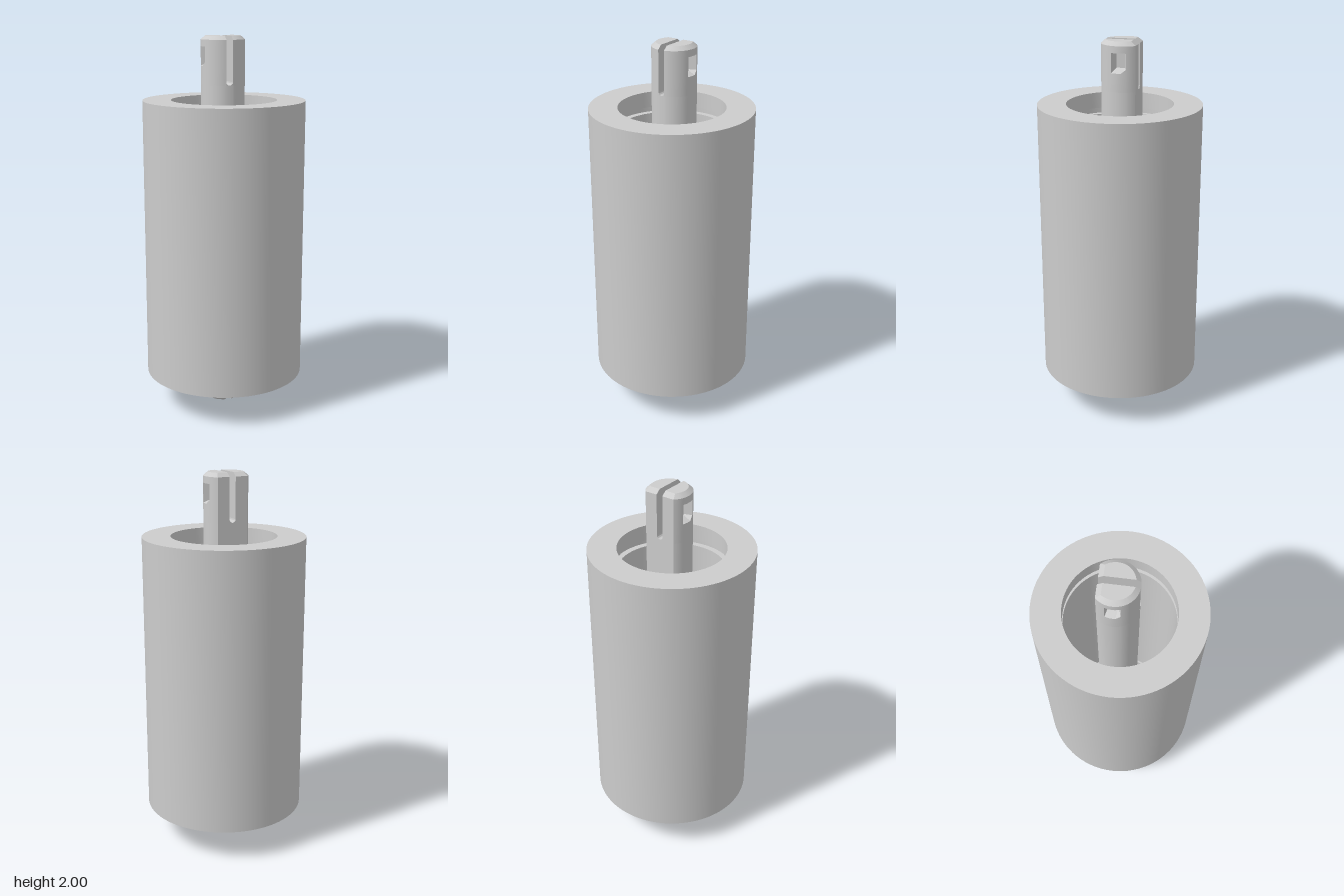
import * as THREE from 'three';
import { toCreasedNormals } from 'three/addons/utils/BufferGeometryUtils.js';

const ZC = -0.02;    // shaft axis offset in z
const SLOT = 0.017;  // half width of the end slots

// Half of the D-shaped shaft section (+x side), optionally with the side pocket cut in
function halfSection(r, flat, pocket = false) {
  const pts = [];
  const arc = (a, b, n) => {
    for (let i = 0; i <= n; i++) {
      const t = a + (b - a) * i / n;
      pts.push([r * Math.cos(t), ZC + r * Math.sin(t)]);
    }
  };
  arc(Math.acos(SLOT / r), 0.33, 12);
  if (pocket) pts.push([0.06, ZC + 0.022], [0.06, ZC - 0.022]);
  else arc(0.11, -0.11, 1);
  arc(-0.33, Math.asin((flat - ZC) / r), 5);
  pts.push([SLOT, flat]);
  return pts;
}

const mirror = (pts) => pts.map(([x, z]) => [-x, z]).reverse();

// Solid through a stack of [y, section] stations, capped at both ends
function loft(stations) {
  const pos = [], idx = [], n = stations[0][1].length;
  for (const [y, pts] of stations) for (const [x, z] of pts) pos.push(x, y, z);
  for (let s = 0; s < stations.length - 1; s++) {
    for (let i = 0; i < n; i++) {
      const a = s * n + i, b = s * n + (i + 1) % n;
      idx.push(a, b, b + n, a, b + n, a + n);
    }
  }
  const cap = (s, flip) => {
    const flat = stations[s][1].map(([x, z]) => new THREE.Vector2(x, -z));
    for (const [a, b, c] of THREE.ShapeUtils.triangulateShape(flat, [])) {
      const o = s * n;
      idx.push(o + a, o + (flip ? c : b), o + (flip ? b : c));
    }
  };
  cap(0, true);
  cap(stations.length - 1, false);
  const g = new THREE.BufferGeometry();
  g.setAttribute('position', new THREE.Float32BufferAttribute(pos, 3));
  g.setIndex(idx);
  return toCreasedNormals(g, 0.4);
}

export function createModel() {
  const model = new THREE.Group();
  const steel = new THREE.MeshStandardMaterial({ color: 0xcccccc });
  steel.name = 'light grey';
  const add = (parent, geo, name) => {
    const m = new THREE.Mesh(geo, steel);
    m.name = name;
    parent.add(m);
    return m;
  };

  // Hollow roller with a ring groove inside each end of the bore
  const lo = 0.175, hi = 1.67, R = 0.427, r = 0.278, g = 0.31;
  const profile = [
    [R, lo], [R, hi], [r, hi],
    [r, hi - 0.085], [g, hi - 0.085], [g, hi - 0.12], [r, hi - 0.12],
    [r, lo + 0.12], [g, lo + 0.12], [g, lo + 0.085], [r, lo + 0.085],
    [r, lo], [R, lo],
  ].map(([x, y]) => new THREE.Vector2(x, y));
  add(model, toCreasedNormals(new THREE.LatheGeometry(profile, 80), 0.4), 'roller');

  // Solid middle of the shaft
  const plain = halfSection(0.115, -0.1);
  const cut = halfSection(0.115, -0.1, true);
  const tip = halfSection(0.092, -0.075);
  const full = [...plain, ...mirror(plain)];
  add(model, loft([[0.25, full], [1.75, full]]), 'shaft');

  // Split end: two prongs with side pockets and chamfered tips
  const stations = [
    [1.75, plain], [1.845, plain], [1.865, cut], [1.945, cut],
    [1.945, plain], [1.98, plain], [2, tip],
  ];
  const prongs = [
    loft(stations),
    loft(stations.map(([y, s]) => [y, mirror(s)])),
  ];

  // Rounded floor of the slot
  const floor = new THREE.Shape();
  floor.moveTo(-SLOT, -0.01);
  floor.lineTo(SLOT, -0.01);
  floor.lineTo(SLOT, SLOT);
  floor.absarc(0, SLOT, SLOT, 0, -Math.PI, true);
  const floorGeo = toCreasedNormals(new THREE.ExtrudeGeometry(floor, {
    depth: 0.1935, bevelEnabled: false, curveSegments: 16,
  }).translate(0, 1.75, -0.1), 0.4);

  for (const end of ['top', 'bottom']) {
    const group = new THREE.Group();
    group.name = end + 'ShaftEnd';
    prongs.forEach((p) => add(group, p, 'prong'));
    add(group, floorGeo, 'slotFloor');
    if (end === 'bottom') {
      group.rotation.z = Math.PI;
      group.position.y = 2;
    }
    model.add(group);
  }
  return model;
}
